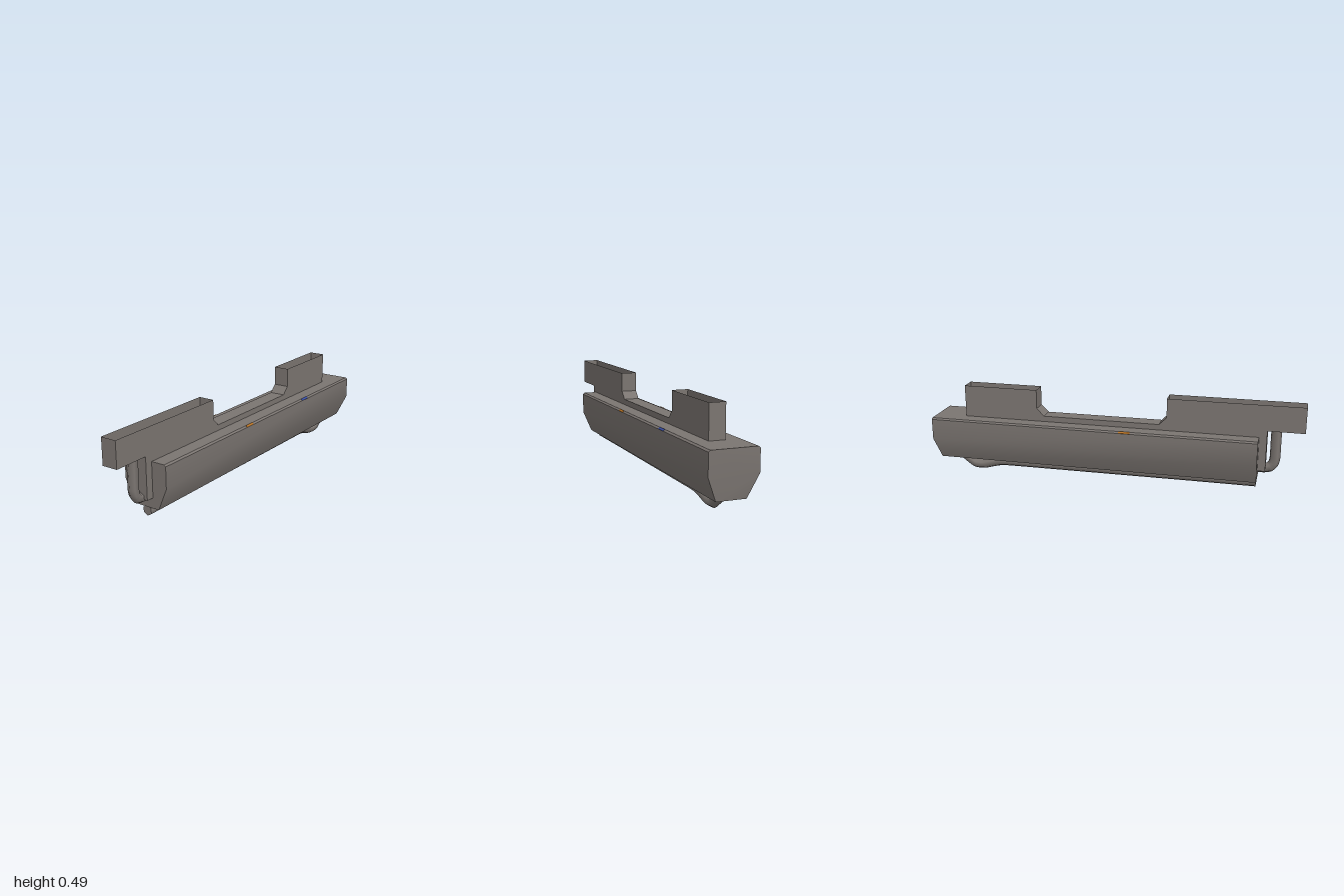
import * as THREE from 'three';
import { toCreasedNormals } from 'three/addons/utils/BufferGeometryUtils.js';

const mat = (name, color, double) => {
  const m = new THREE.MeshStandardMaterial({ color });
  m.name = name;
  if (double) m.side = THREE.DoubleSide;
  return m;
};

// Sweeps a hexagon (corner pointing up and down) along points [z, y] on the x = 0 plane.
function hexPipe(points, r) {
  const curve = new THREE.CatmullRomCurve3(points.map(([z, y]) => new THREE.Vector3(0, y, z)), false, 'catmullrom', 0.3);
  const steps = 40, sides = 6, pos = [], idx = [];
  for (let i = 0; i <= steps; i++) {
    const p = curve.getPoint(i / steps), t = curve.getTangent(i / steps);
    for (let j = 0; j < sides; j++) {
      const a = (j / sides) * Math.PI * 2, c = Math.cos(a) * r;
      pos.push(Math.sin(a) * r, p.y - t.z * c, p.z + t.y * c);
      const k = (j + 1) % sides, b = i * sides;
      if (i < steps) idx.push(b + j, b + k, b + sides + j, b + k, b + sides + k, b + sides + j);
    }
  }
  for (let j = 1; j < sides - 1; j++) {
    const e = steps * sides;
    idx.push(0, j + 1, j, e, e + j, e + j + 1);
  }
  const g = new THREE.BufferGeometry();
  g.setAttribute('position', new THREE.Float32BufferAttribute(pos, 3));
  g.setIndex(idx);
  return toCreasedNormals(g, 1.2);
}

export function createModel() {
  const model = new THREE.Group();
  const metal = mat('gunmetal', 0x7b7571, true);
  const orange = mat('orange mark', 0xb87426);
  const blue = mat('blue mark', 0x3a50a8);
  const add = (name, geo, m = metal) => {
    const mesh = new THREE.Mesh(geo, m);
    mesh.name = name;
    model.add(mesh);
    return mesh;
  };

  // Hull: chamfered top, sloping lower sides, bottom edge pulled in at the back
  const half = [[0.075, 0.083], [0.125, 0.2], [0.125, 0.312], [0.116, 0.32]];
  const section = [...half, ...half.map(([x, y]) => [-x, y]).reverse()];
  const hull = new THREE.ExtrudeGeometry(
    new THREE.Shape(section.map(([x, y]) => new THREE.Vector2(x, y))),
    { depth: 1.77, bevelEnabled: false });
  hull.translate(0, 0, -1);
  const hp = hull.attributes.position;
  for (let i = 0; i < hp.count; i++) {
    if (hp.getY(i) < 0.1 && hp.getZ(i) < -0.9) hp.setZ(i, -0.975);
  }
  add('hull', toCreasedNormals(hull, 0.6));

  // Central rail: two raised, open-topped blocks joined by a low spine
  const w = 0.042;
  const path = [[1, 0.493], [1, 0.356], [0.81, 0.356], [0.81, 0.137], [-0.83, 0.137], [-0.83, 0.493],
    [-0.42, 0.493], [-0.42, 0.39], [-0.38, 0.35], [0.25, 0.35], [0.29, 0.39], [0.29, 0.493]];
  const outline = new THREE.Shape(path.map(([z, y]) => new THREE.Vector2(-z, y)));
  for (const s of [1, -1]) {
    const side = new THREE.ShapeGeometry(outline);
    side.rotateY(Math.PI / 2);
    if (s < 0) side.scale(-1, 1, 1);
    if (s < 0) {
      // restore outward winding on the mirrored wall
      const ix = side.index.array;
      for (let i = 0; i < ix.length; i += 3) [ix[i], ix[i + 1]] = [ix[i + 1], ix[i]];
    }
    side.translate(s * w, 0, 0);
    side.computeVertexNormals();
    add(s > 0 ? 'railLeftWall' : 'railRightWall', side);
  }
  const pos = [];
  path.forEach(([z, y], i) => {
    if (i === 5 || i === path.length - 1) return; // open block tops
    const [z2, y2] = path[i + 1];
    pos.push(-w, y, z, -w, y2, z2, w, y2, z2, -w, y, z, w, y2, z2, w, y, z);
  });
  const strip = new THREE.BufferGeometry();
  strip.setAttribute('position', new THREE.Float32BufferAttribute(pos, 3));
  strip.computeVertexNormals();
  add('railEndsAndSpine', strip);

  // Pipes: front elbow, and the long one below with its dip at the back
  add('frontPipe', hexPipe([[0.855, 0.37], [0.855, 0.28], [0.855, 0.2], [0.848, 0.17],
    [0.83, 0.15], [0.8, 0.143], [0.75, 0.143]], 0.027));
  add('lowerPipe', hexPipe([[0.765, 0.06], [0.4, 0.06], [0, 0.059], [-0.4, 0.058], [-0.62, 0.057],
    [-0.68, 0.05], [-0.76, 0.029], [-0.81, 0.032], [-0.86, 0.068], [-0.9, 0.1]], 0.027));

  // Small painted marks on the upper edges
  const mark = (name, s, z, len, m) => {
    const plate = add(name, new THREE.BoxGeometry(0.012, 0.003, len), m);
    plate.position.set(s * 0.121, 0.3165, z);
    plate.rotation.z = -s * 0.73;
  };
  mark('leftOrangeMark', 1, 0.08, 0.06, orange);
  mark('rightOrangeMark', -1, 0.08, 0.06, orange);
  mark('leftBlueMark', 1, -0.48, 0.06, blue);
  return model;
}
